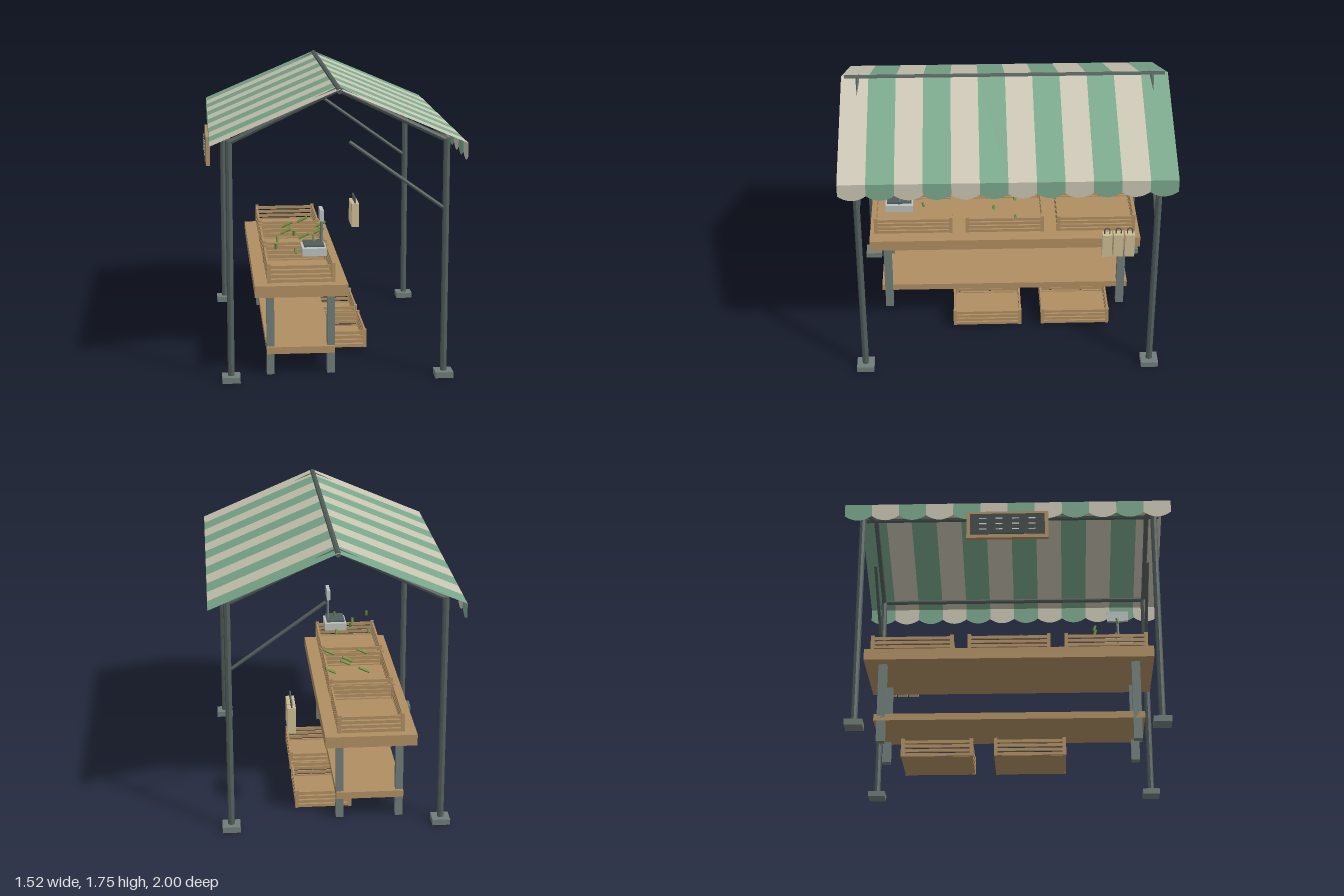
import * as THREE from 'three';

const mat = (name, color, extra = {}) => {
  const m = new THREE.MeshStandardMaterial({ color, ...extra });
  m.name = name;
  return m;
};

export function createModel() {
  const root = new THREE.Group();
  root.name = 'marketStall';

  const flat = { flatShading: true };
  const sheet = { side: THREE.DoubleSide };
  const green = mat('canopyGreen', 0x7aa88c, sheet);
  const cream = mat('canopyCream', 0xcac5b3, sheet);
  const steel = mat('darkSteel', 0x525e5b, flat);
  const grey = mat('legGrey', 0x6f7d79, flat);
  const wood = mat('wood', 0xb08f62, flat);
  const scaleGrey = mat('scaleGrey', 0xb9c2bf, flat);
  const paper = mat('paper', 0xcdbd94, flat);
  const leaf = mat('vegetableGreen', 0x6f9440, flat);
  const slate = mat('slate', 0x3c4645, flat);
  const chalk = mat('chalk', 0xd8d8d0, flat);

  const group = (name, parent = root) => {
    const g = new THREE.Group();
    g.name = name;
    parent.add(g);
    return g;
  };
  const add = (parent, name, geo, material) => {
    const m = new THREE.Mesh(geo, material);
    m.name = name;
    parent.add(m);
    return m;
  };
  // Box given by its lower and upper limits
  const box = (parent, name, material, [x0, x1], [y0, y1], [z0, z1]) => {
    const m = add(parent, name, new THREE.BoxGeometry(x1 - x0, y1 - y0, z1 - z0), material);
    m.position.set((x0 + x1) / 2, (y0 + y1) / 2, (z0 + z1) / 2);
    return m;
  };
  // Round bar between two points
  const bar = (parent, name, material, a, b, r) => {
    const p = new THREE.Vector3(...a), q = new THREE.Vector3(...b);
    const d = q.clone().sub(p);
    const m = add(parent, name, new THREE.CylinderGeometry(r, r, d.length(), 8), material);
    m.position.copy(p).add(q).multiplyScalar(0.5);
    m.quaternion.setFromUnitVectors(new THREE.Vector3(0, 1, 0), d.normalize());
    return m;
  };

  // Frame: posts, feet, rafters, braces and long rails
  const CX = 0.015, HALF = 0.635, EAVE = 1.435, RIDGE = 1.737;
  const frame = group('frame');
  for (const z of [-0.9, 0.9]) {
    for (const s of [-1, 1]) {
      const x = CX + s * HALF;
      bar(frame, 'post', steel, [x, 0.03, z], [x, EAVE + 0.01, z], 0.02);
      box(frame, 'foot', grey, [x - 0.054, x + 0.054], [0, 0.036], [z - 0.054, z + 0.054]);
      bar(frame, 'rafter', steel, [x, EAVE, z], [CX, RIDGE, z], 0.016);
    }
    bar(frame, 'brace', steel, [0.645, 1.025, z], [0.08, 1.43, z], 0.011);
  }
  for (const s of [-1, 1]) {
    bar(frame, 'eaveRail', steel, [CX + s * HALF, EAVE, -0.9], [CX + s * HALF, EAVE, 0.9], 0.015);
  }
  bar(frame, 'ridgeRail', steel, [CX, RIDGE, -0.98], [CX, RIDGE, 0.98], 0.018);

  // Striped canopy with a scalloped valance
  const canopy = group('canopy');
  const W = 1 / 6, SPAN = 0.745, PEAK = 1.748, EDGE = 1.43;
  const slope = Math.atan2(PEAK - EDGE, SPAN);
  const scallop = new THREE.Shape();
  scallop.moveTo(-W / 2, 0);
  scallop.lineTo(-W / 2, -0.078);
  scallop.quadraticCurveTo(0, -0.142, W / 2, -0.078);
  scallop.lineTo(W / 2, 0);
  for (let i = 0; i < 12; i++) {
    const z = -1 + (i + 0.5) * W;
    const color = i % 2 ? cream : green;
    for (const s of [-1, 1]) {
      const panel = new THREE.PlaneGeometry(Math.hypot(SPAN, PEAK - EDGE), W);
      panel.rotateX(-Math.PI / 2).rotateZ(-s * slope);
      add(canopy, 'roofStripe', panel, color).position.set(CX + s * SPAN / 2, (PEAK + EDGE) / 2, z);
      const flap = new THREE.ShapeGeometry(scallop, 10).rotateY(s * Math.PI / 2);
      add(canopy, 'valanceFlap', flap, color).position.set(CX + s * SPAN, EDGE, z);
    }
  }

  // Table with lower shelf
  const table = group('table');
  box(table, 'tableTop', wood, [-0.475, 0.08], [0.5, 0.57], [-0.88, 0.88]);
  box(table, 'lowerShelf', wood, [-0.403, 0.007], [0.132, 0.174], [-0.815, 0.815]);
  for (const x of [-0.38, -0.015]) {
    for (const z of [-0.77, 0.77]) {
      box(table, 'tableLeg', grey, [x - 0.023, x + 0.023], [0, 0.5], [z - 0.026, z + 0.026]);
    }
  }

  // Slatted crates
  const crate = (name, x, y, z, w, d) => {
    const g = group(name);
    g.position.set(x, y, z);
    const hw = w / 2, hd = d / 2, t = 0.012, c = 0.022;
    box(g, 'crateFloor', wood, [-hw + t, hw - t], [0, 0.014], [-hd + t, hd - t]);
    for (const s of [-1, 1]) {
      for (const u of [-1, 1]) {
        const px = s * (hw - c / 2), pz = u * (hd - c / 2);
        box(g, 'cratePost', wood, [px - c / 2, px + c / 2], [0, 0.116], [pz - c / 2, pz + c / 2]);
      }
      for (let i = 0; i < 4; i++) {
        const h = [0.002 + i * 0.028, 0.021 + i * 0.028];
        const sx = s * (hw - t / 2 - 0.002), sz = s * (hd - t / 2 - 0.002);
        box(g, 'sideSlat', wood, [sx - t / 2, sx + t / 2], h, [-hd + 0.004, hd - 0.004]);
        box(g, 'endSlat', wood, [-hw + 0.004, hw - 0.004], h, [sz - t / 2, sz + t / 2]);
      }
    }
  };
  for (const z of [-0.595, 0, 0.595]) crate('displayCrate', -0.198, 0.58, z, 0.405, 0.51);
  for (const z of [0.12, -0.453]) crate('storageCrate', 0.075, 0.014, z, 0.35, 0.445);

  // Produce above the crates, at alternating heights
  const produce = group('produce');
  for (let i = 0; i < 3; i++) {
    for (let j = 0; j < 2; j++) {
      const high = (i + j) % 2 === 0;
      const tilt = j ? 0.3 : -0.3;
      const short = add(produce, 'shortVegetable', new THREE.CylinderGeometry(0.008, 0.008, 0.034, 8), leaf);
      short.position.set(-0.33 + i * 0.11, high ? 0.81 : 0.73, j ? 0.53 : 0.67);
      short.rotation.x = tilt;
      const x = -0.237 + i * 0.108, y = high ? 0.758 : 0.682, z = j ? -0.07 : 0.07;
      bar(produce, 'longVegetable', leaf, [x - 0.033, y - 0.015, z], [x + 0.033, y + 0.015, z], 0.009);
    }
  }

  // Weighing scale
  const scale = group('weighingScale');
  box(scale, 'scaleBase', scaleGrey, [-0.186, -0.04], [0.72, 0.766], [0.595, 0.772]);
  box(scale, 'scaleTray', steel, [-0.174, -0.054], [0.774, 0.784], [0.603, 0.762]);
  box(scale, 'traySupport', steel, [-0.13, -0.1], [0.766, 0.774], [0.668, 0.698]);
  bar(scale, 'scalePole', grey, [-0.066, 0.766, 0.683], [-0.066, 0.94, 0.683], 0.009);
  box(scale, 'scaleDisplay', scaleGrey, [-0.078, -0.056], [0.928, 0.993], [0.616, 0.75]);
  box(scale, 'displayScreen', slate, [-0.056, -0.054], [0.94, 0.981], [0.635, 0.731]).visible = false;

  // Paper bags with looped handles
  const bags = group('paperBags');
  for (const z of [-0.642, -0.714, -0.786]) {
    box(bags, 'bag', paper, [0.25, 0.301], [0.577, 0.738], [z - 0.031, z + 0.031]);
    const path = new THREE.CatmullRomCurve3([[-0.016, 0.735], [-0.015, 0.768], [0, 0.779], [0.015, 0.768], [0.016, 0.735]]
      .map(([u, v]) => new THREE.Vector3(0.275, v, z + u)));
    add(bags, 'bagHandle', new THREE.TubeGeometry(path, 12, 0.0045, 6), steel);
  }

  // Hanging price board with chalk strokes
  const board = group('priceBoard');
  box(board, 'boardFrame', wood, [-0.747, -0.72], [1.18, 1.36], [-0.25, 0.25]);
  box(board, 'boardFace', slate, [-0.753, -0.747], [1.203, 1.342], [-0.228, 0.228]);
  for (let r = 0; r < 3; r++) {
    for (let k = 0; k < 4; k++) {
      const z = -0.15 + k * 0.1, y = 1.235 + r * 0.037;
      box(board, 'chalkStroke', chalk, [-0.757, -0.753], [y - 0.003, y + 0.003], [z - 0.022, z + 0.022]);
    }
  }
  return root;
}
